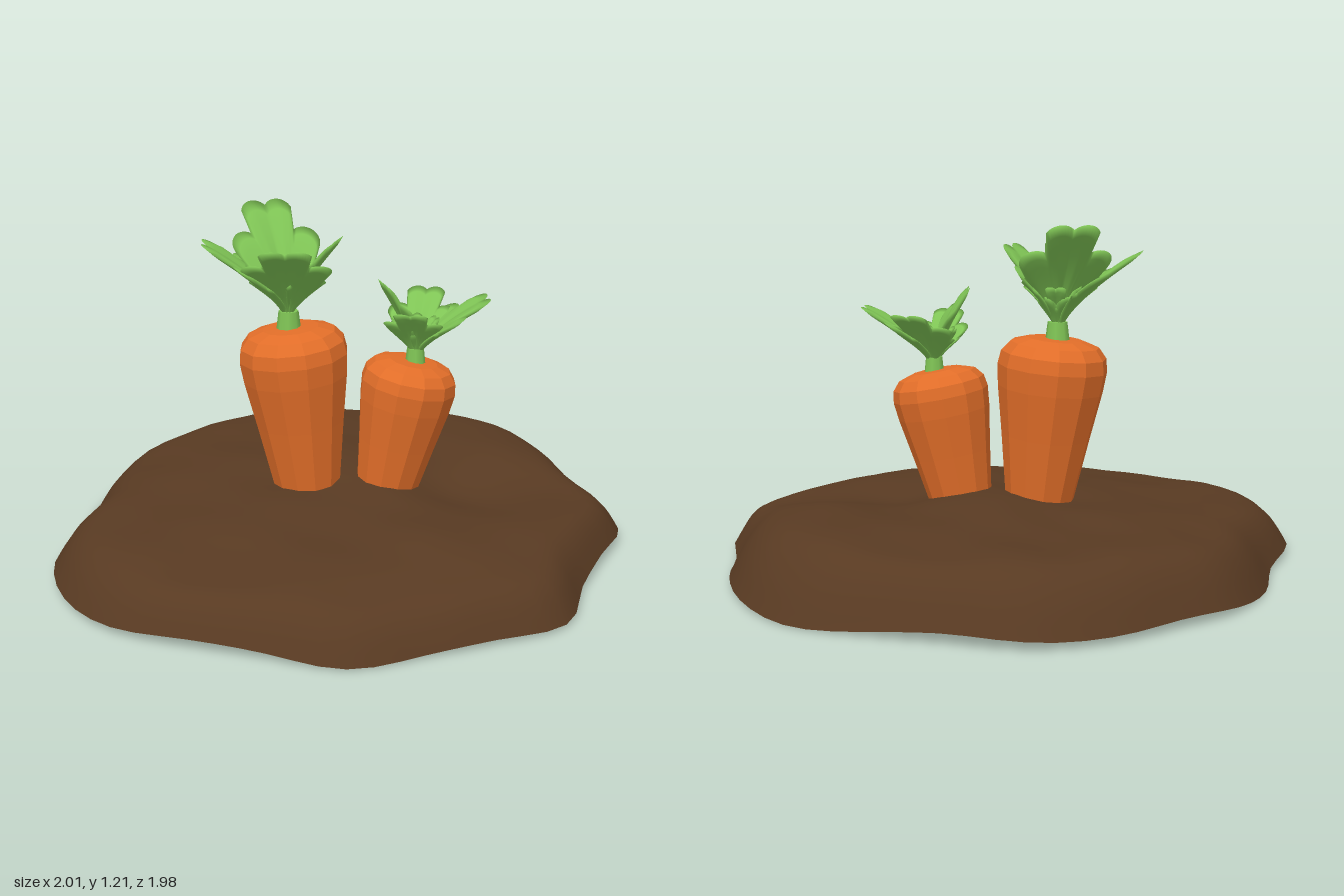
import * as THREE from 'three';
import { ParametricGeometry } from 'three/addons/geometries/ParametricGeometry.js';
import { mergeVertices } from 'three/addons/utils/BufferGeometryUtils.js';

const soilMat = new THREE.MeshStandardMaterial({ color: 0x583a22, side: THREE.DoubleSide });
const carrotMat = new THREE.MeshStandardMaterial({ color: 0xe26e29, flatShading: true });
const leafMat = new THREE.MeshStandardMaterial({ color: 0x7fc455, side: THREE.DoubleSide });

function addMesh(parent, name, geometry, material) {
  const mesh = new THREE.Mesh(geometry, material);
  mesh.name = name;
  parent.add(mesh);
  return mesh;
}

// Parametric surface with welded seams and smooth normals
function smoothSurface(fn, slices, stacks) {
  let g = new ParametricGeometry(fn, slices, stacks);
  g.deleteAttribute('normal');
  g.deleteAttribute('uv');
  g = mergeVertices(g, 1e-5);
  g.computeVertexNormals();
  return g;
}

// Soil outline: radius every 15 degrees, from +x towards +z
const outline = [1.0, 0.93, 0.92, 1.0, 0.95, 0.94, 0.98, 0.955, 0.99, 1.06, 1.08, 1.05,
  0.96, 0.98, 1.0, 0.985, 1.01, 1.025, 0.98, 0.985, 1.03, 1.02, 0.98, 0.95];

function outlineRadius(u) {
  const f = (u % 1) * 24, i = Math.floor(f), k = f - i;
  const at = (n) => outline[(n + 24) % 24];
  const [a, b, c, d] = [at(i - 1), at(i), at(i + 1), at(i + 2)];
  return b + 0.5 * k * (c - a + k * (2 * a - 5 * b + 4 * c - d + k * (3 * (b - c) + d - a)));
}

// Soil cross-section: x is the fraction of the radius, y the height
const soilProfile = new THREE.SplineCurve([
  [0, 0.255], [0.2, 0.247], [0.4, 0.235], [0.6, 0.225], [0.76, 0.212],
  [0.87, 0.187], [0.94, 0.13], [1, 0.035],
].map(([x, y]) => new THREE.Vector2(x, y)));

// Hollow soil shell, open underneath
function makeSoil() {
  const bump = (x, z, cx, cz, r, h) => h * Math.exp(-((x - cx) ** 2 + (z - cz) ** 2) / (r * r));
  return smoothSurface((u, v, target) => {
    const a = u * Math.PI * 2;
    const p = soilProfile.getPoint(v);
    const r = Math.max(p.x, 0) * outlineRadius(u);
    const x = r * Math.cos(a), z = r * Math.sin(a);
    const top = 1 - THREE.MathUtils.smoothstep(p.x, 0.8, 1);
    const relief = -0.03 * z
      + bump(x, z, 0, -0.15, 0.16, 0.03) + bump(x, z, 0.62, -0.4, 0.25, 0.025)
      + bump(x, z, 0.4, 0, 0.17, -0.04) + bump(x, z, 0.7, 0.02, 0.2, -0.03)
      + bump(x, z, 0.2, 0.42, 0.2, 0.015)
      + 0.009 * Math.sin(9 * x + 4 * z) * Math.cos(8 * z - 3 * x)
      + 0.004 * Math.sin(17 * x - 6 * z) * Math.sin(14 * z + 5 * x);
    const rim = (1 - top) * (0.012 * Math.sin(3 * a + 1) + 0.01 * Math.sin(7 * a));
    target.set(x, p.y + relief * top + rim, z);
  }, 72, 32);
}

// Carrot root: faceted lathe standing on its tip, axis +y
function makeRoot() {
  const profile = [[0, 0], [0.05, 0.008], [0.088, 0.055], [0.122, 0.18], [0.158, 0.42],
    [0.187, 0.6], [0.195, 0.68], [0.187, 0.73], [0.157, 0.768], [0.1, 0.787], [0, 0.79]];
  const points = profile.map(([x, y]) => new THREE.Vector2(x, y));
  return new THREE.LatheGeometry(points, 12, Math.PI / 12);
}

// Round leaf lobes on one side of the midrib: [x, y, radius]
const lobes = [[0.1, 0.86, 0.13], [0.25, 0.58, 0.135], [0.22, 0.36, 0.11]];

// Distance from the leaf base to the lobed edge along a direction
function leafEdge(angle) {
  const dx = Math.abs(Math.sin(angle)), dy = Math.cos(angle);
  let far = 0.2;
  for (const [x, y, r] of lobes) {
    const along = x * dx + y * dy;
    const gap = r * r - (x * dy - y * dx) ** 2;
    if (gap > 0) far = Math.max(far, along + Math.sqrt(gap));
  }
  return far;
}

// Lobed leaf: a thin two-sided fan rising along +y and bending out along +z
function makeLeaf(length, reach, rise) {
  return smoothSurface((u, v, target) => {
    const w = u * 2 - 1;
    const s = v < 0.5 ? 2 * v : 2 * (1 - v);
    const angle = w * 0.75;
    const r = s * leafEdge(angle);
    const side = r * Math.sin(angle) * s ** 0.3 * length;
    const t = r * Math.cos(angle);
    const groove = Math.min(1, Math.abs(w) * 5);
    const face = (v < 0.5 ? 1 : -1) * Math.sqrt(Math.max(0, (1 - s ** 8) * (1 - w ** 8)));
    const lift = face * (0.004 + 0.006 * groove) + 0.03 * w * w * s;
    target.set(-side, rise * t ** 0.85 + lift * 0.7, reach * t ** 1.3 - lift * 0.7);
  }, 56, 20);
}

// leaves: [yaw, length, reach, rise]
function makeCarrot(name, { tip, tilt, scale, leaves, crown, leafSize }) {
  const carrot = new THREE.Group();
  carrot.name = name;
  const root = addMesh(carrot, 'root', makeRoot(), carrotMat);
  root.position.set(...tip);
  root.rotation.z = tilt;
  root.scale.set(scale[0], scale[1], scale[0]);

  const tops = new THREE.Group();
  tops.name = 'leafTops';
  tops.position.set(...crown);
  carrot.add(tops);

  const stem = new THREE.CylinderGeometry(0.035 * leafSize, 0.045 * leafSize, 0.08, 8);
  addMesh(tops, 'stem', stem, leafMat);

  for (const [yaw, length, reach, rise] of leaves) {
    addMesh(tops, 'leaf', makeLeaf(length, reach, rise), leafMat).rotation.y = yaw;
  }
  // Small leaflets bunched around the stem
  const leaflet = makeLeaf(0.17 * leafSize, 0.1 * leafSize, 0.17 * leafSize);
  for (let i = 0; i < 5; i++) {
    addMesh(tops, 'leaflet', leaflet, leafMat).rotation.y = 0.7 + i * Math.PI * 0.4;
  }
  return carrot;
}

export function createModel() {
  const model = new THREE.Group();
  model.name = 'carrotPatch';
  addMesh(model, 'soil', makeSoil(), soilMat);

  model.add(makeCarrot('tallCarrot', {
    tip: [-0.122, 0.07, 0], tilt: 0.095, scale: [1, 0.95], crown: [-0.2, 0.835, 0], leafSize: 1,
    leaves: [
      [0, 0.4, 0.31, 0.32],
      [-2.75, 0.42, 0.25, 0.39],
      [-1.5, 0.38, 0.3, 0.29],
      [1.3, 0.36, 0.19, 0.31],
    ],
  }));
  model.add(makeCarrot('shortCarrot', {
    tip: [0.115, 0.05, 0], tilt: -0.19, scale: [0.88, 0.83], crown: [0.245, 0.7, 0], leafSize: 0.85,
    leaves: [
      [1.65, 0.34, 0.26, 0.22],
      [-1.3, 0.3, 0.13, 0.29],
      [2.9, 0.31, 0.22, 0.21],
      [-0.2, 0.27, 0.15, 0.2],
    ],
  }));
  return model;
}
